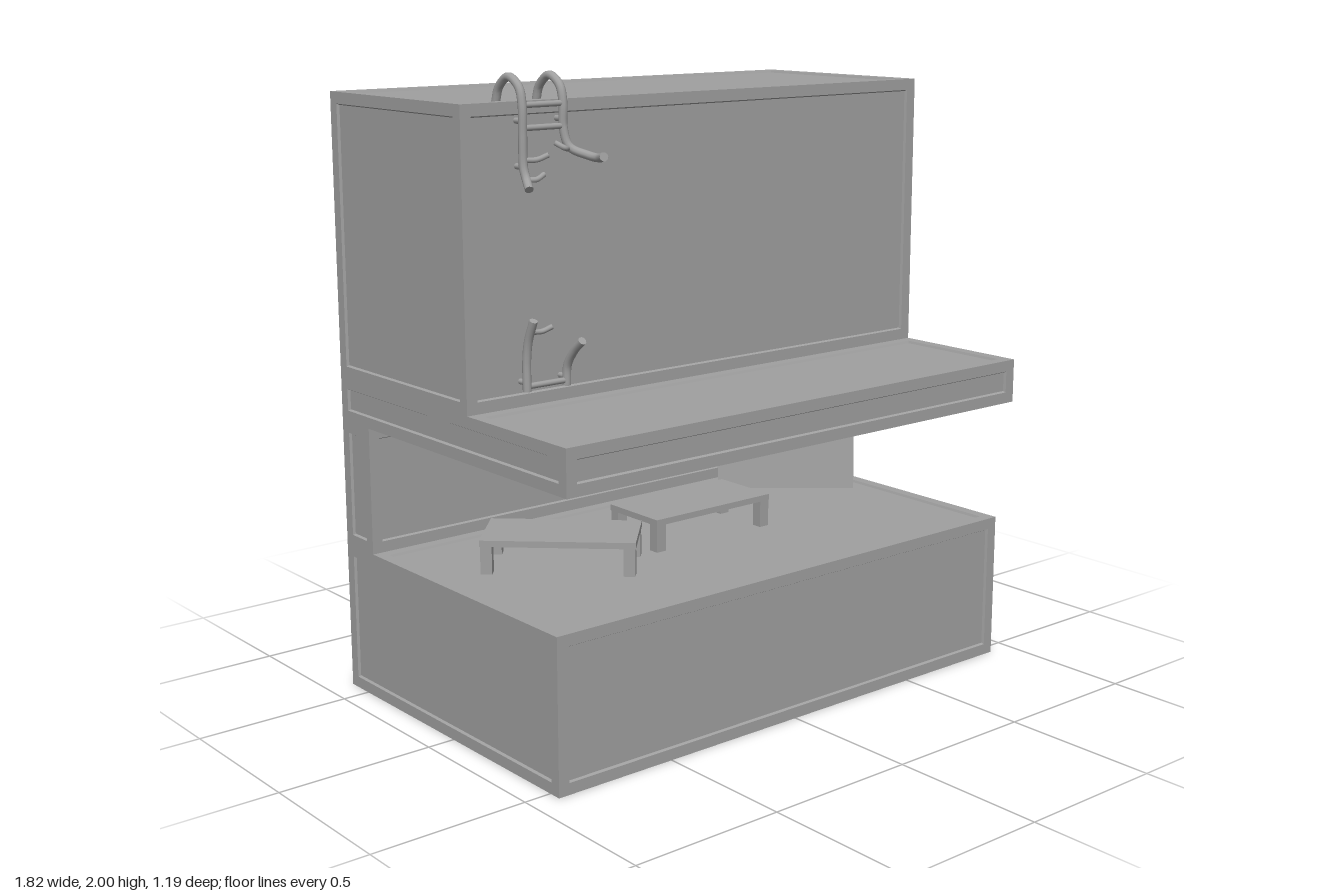
import * as THREE from 'three';

const material = new THREE.MeshStandardMaterial({ color: 0xa0a0a0, side: THREE.DoubleSide });
const HALF = 0.912, BACK = -0.595;  // half width, rear edge
const BORDER = 0.036, BEVEL = 0.004, DEPTH = 0.008; // panel border, its slope and recess

function add(parent, name, geometry, x = 0, y = 0, z = 0) {
  const mesh = new THREE.Mesh(geometry, material);
  mesh.name = name;
  mesh.position.set(x, y, z);
  parent.add(mesh);
  return mesh;
}

// Thin wall facing local +z: flat border, sloped rim, recessed panel
function wall(parent, name, w, h, position, rx = 0, ry = 0) {
  const rings = [[0, 0], [BORDER, 0], [BORDER + BEVEL, -DEPTH]].map(([inset, z]) => {
    const a = w / 2 - inset, b = h / 2 - inset;
    return [[-a, -b, z], [a, -b, z], [a, b, z], [-a, b, z]];
  });
  const verts = [];
  const quad = (a, b, c, d) => verts.push(...a, ...b, ...c, ...a, ...c, ...d);
  for (let r = 0; r < 2; r++) for (let i = 0; i < 4; i++) {
    const j = (i + 1) % 4;
    quad(rings[r][i], rings[r][j], rings[r + 1][j], rings[r + 1][i]);
  }
  quad(...rings[2]);
  const geometry = new THREE.BufferGeometry();
  geometry.setAttribute('position', new THREE.Float32BufferAttribute(verts, 3));
  geometry.computeVertexNormals();
  add(parent, name, geometry, ...position).rotation.set(rx, ry, 0);
}

// Low table whose feet sink slightly below its origin
function bench(parent, name) {
  const group = new THREE.Group();
  group.name = name;
  add(group, 'benchTop', new THREE.BoxGeometry(0.48, 0.02, 0.24), 0, 0.09, 0);
  for (const sx of [-1, 1]) for (const sz of [-1, 1]) {
    add(group, 'benchLeg', new THREE.BoxGeometry(0.036, 0.09, 0.036), sx * 0.22, 0.035, sz * 0.1);
  }
  parent.add(group);
  return group;
}

// Round bar through a few points, closed by flat caps
function bar(parent, name, points, radius = 0.013) {
  const pts = points.map(p => new THREE.Vector3(...p));
  const curve = pts.length > 2 ? new THREE.CatmullRomCurve3(pts) : new THREE.LineCurve3(...pts);
  add(parent, name, new THREE.TubeGeometry(curve, pts.length > 2 ? 40 : 1, radius, 10));
  for (const t of [0, 1]) {
    const cap = add(parent, name + 'Cap', new THREE.CircleGeometry(radius, 10));
    cap.position.copy(curve.getPoint(t));
    cap.quaternion.setFromUnitVectors(new THREE.Vector3(0, 0, 1), curve.getTangent(t).multiplyScalar(t ? 1 : -1));
  }
}

export function createModel() {
  const model = new THREE.Group();
  model.name = 'steppedBuilding';

  // Front shell: [name, facing, start and end along the profile, offset]
  const shell = [
    ['roof', 'up', BACK, 0.12, 1.92],
    ['upperWall', 'front', 1.03, 1.92, 0.12],
    ['ledgeTop', 'up', 0.12, 0.597, 1.03],
    ['ledgeFront', 'front', 0.888, 1.03, 0.597],
    ['soffit', 'down', -0.437, 0.597, 0.888],
    ['recessWall', 'front', 0.48, 0.888, -0.437],
    ['recessFloor', 'up', -0.437, 0.542, 0.48],
    ['lowerWall', 'front', 0, 0.48, 0.542],
    ['base', 'down', BACK, 0.542, 0],
  ];
  for (const [name, facing, a, b, offset] of shell) {
    const mid = (a + b) / 2;
    const position = facing === 'front' ? [0, mid, offset] : [0, offset, mid];
    const rx = { front: 0, up: -Math.PI / 2, down: Math.PI / 2 }[facing];
    wall(model, name, HALF * 2, b - a, position, rx);
  }

  // Closed right side; the back and the left side stay open
  for (const [name, y0, y1, front] of [
    ['upperSide', 1.03, 1.92, 0.12], ['ledgeSide', 0.888, 1.03, 0.597],
    ['recessSide', 0.48, 0.888, -0.437], ['lowerSide', 0, 0.48, 0.542],
  ]) {
    wall(model, name, front - BACK, y1 - y0, [-HALF, (y0 + y1) / 2, (front + BACK) / 2], 0, -Math.PI / 2);
  }

  // Benches: one turned, one straight, one tipped on its side
  const turned = bench(model, 'turnedBench');
  turned.position.set(-0.495, 0.48, 0);
  turned.rotation.y = -0.75;
  bench(model, 'straightBench').position.set(0.04, 0.48, -0.015);
  const tipped = bench(model, 'tippedBench');
  tipped.rotation.set(Math.PI / 2 - 0.1, -0.7, 0, 'YXZ');
  tipped.position.set(0.685, 0.589, -0.259);

  // Upper part of the broken ladder, hooked over the roof edge
  const ladder = new THREE.Group();
  ladder.name = 'brokenLadder';
  model.add(ladder);
  const L = -0.718, R = -0.575, Z = 0.145;
  const hook = x => [[x, 1.908, 0.012], [x, 1.955, 0.03], [x, 1.987, 0.08], [x, 1.96, 0.13], [x, 1.91, Z]];
  bar(ladder, 'upperRail', [...hook(L), [L, 1.82, Z], [L, 1.73, 0.147], [L, 1.7, 0.16], [-0.73, 1.675, 0.19]]);
  bar(ladder, 'upperRail', [...hook(R), [R, 1.84, Z], [-0.565, 1.785, 0.16], [-0.535, 1.762, 0.21], [-0.53, 1.757, 0.25], [-0.547, 1.765, 0.3]]);
  for (const y of [1.91, 1.845]) bar(ladder, 'rung', [[L, y, Z], [R, y, Z]], 0.009);
  bar(ladder, 'brokenRung', [[L, 1.755, Z], [-0.68, 1.755, 0.16], [-0.65, 1.768, 0.175]], 0.008);
  bar(ladder, 'brokenRung', [[L, 1.7, 0.16], [-0.69, 1.7, 0.17], [-0.66, 1.712, 0.165]], 0.008);
  bar(ladder, 'brokenRung', [[R, 1.78, 0.165], [-0.6, 1.785, 0.185], [-0.62, 1.8, 0.165]], 0.008);

  // Lower part of the ladder
  bar(ladder, 'lowerRail', [[L, 1.08, Z], [L, 1.17, Z], [L, 1.23, 0.155], [L, 1.295, 0.183]]);
  bar(ladder, 'lowerRail', [[R, 1.08, Z], [R, 1.14, 0.15], [R, 1.19, 0.185], [R, 1.225, 0.225]]);
  bar(ladder, 'rung', [[L, 1.095, Z], [R, 1.095, Z]], 0.009);
  bar(ladder, 'brokenRung', [[L, 1.26, 0.168], [-0.68, 1.258, 0.17], [-0.65, 1.27, 0.18]], 0.008);

  // Brackets to the wall
  for (const [x, y] of [[L, 1.865], [R, 1.865], [L, 1.735], [L, 1.105], [R, 1.105]]) {
    bar(ladder, 'wallBracket', [[x, y, 0.112], [x, y, Z]], 0.009);
  }
  return model;
}
